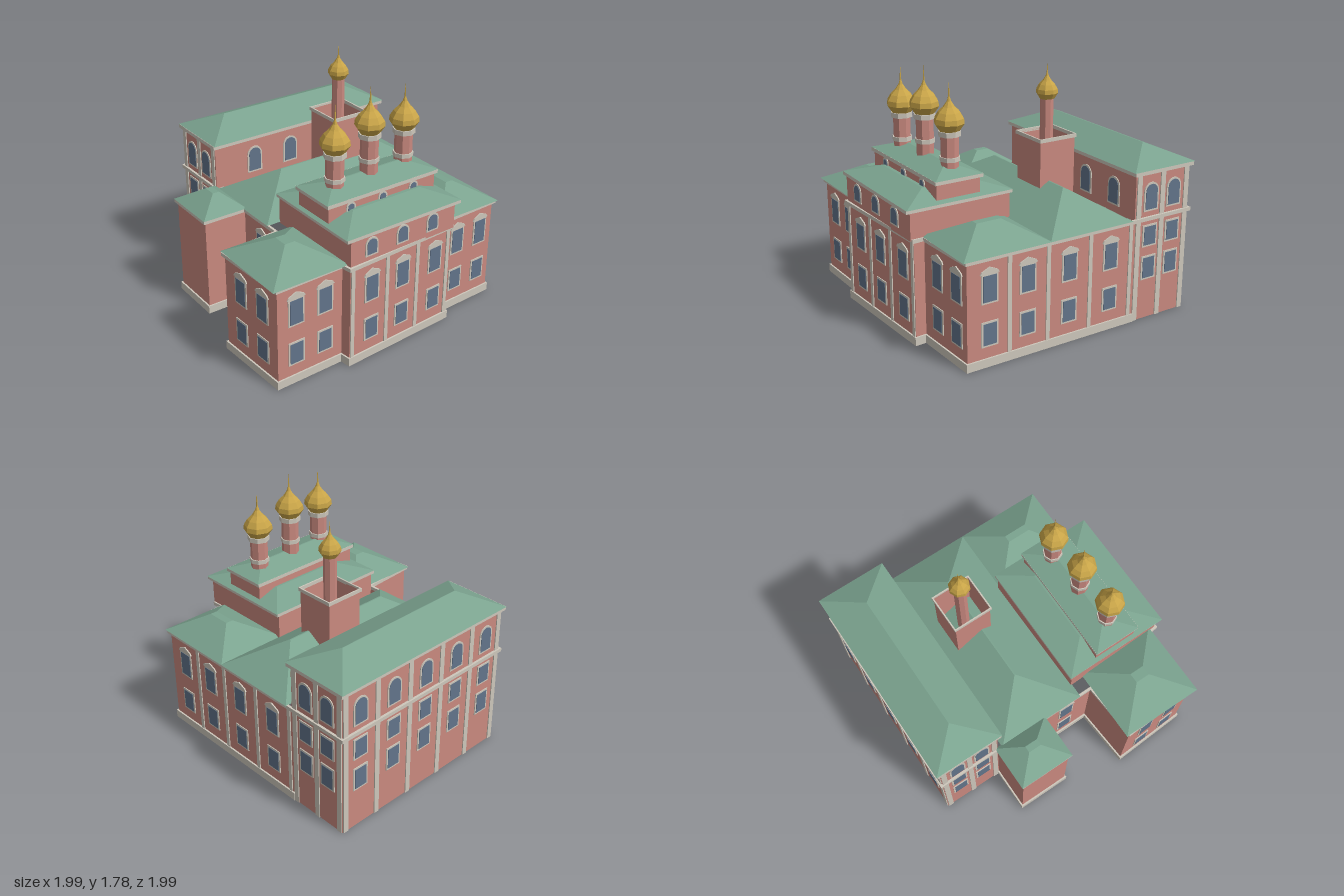
import * as THREE from 'three';

const mat = (name, color, side = THREE.FrontSide) => {
  const m = new THREE.MeshStandardMaterial({ color, side, flatShading: true });
  m.name = name;
  return m;
};

export function createModel() {
  const pink = mat('pink plaster', 0xc9897f, THREE.DoubleSide);
  const pale = mat('pale stone', 0xcdc7bb);
  const green = mat('green roof', 0x7ba38f, THREE.DoubleSide);
  const glass = mat('window glass', 0x62748a);
  const gold = mat('gold', 0xc9a548);
  const model = new THREE.Group();
  model.name = 'church';

  const add = (parent, name, geo, material, x = 0, y = 0, z = 0) => {
    const mesh = new THREE.Mesh(geo, material);
    mesh.name = name;
    mesh.position.set(x, y, z);
    parent.add(mesh);
    return mesh;
  };

  // Footprints are [x, z] corners: front left to right, then round the back
  const rect = (x0, x1, z0, z1) => [[x0, z1], [x1, z1], [x1, z0], [x0, z0]];

  const offset = (pts, d) => pts.map((p, i) => {
    const n = pts.length, a = pts[(i + n - 1) % n], b = pts[(i + 1) % n];
    const n1 = new THREE.Vector2(a[1] - p[1], p[0] - a[0]).normalize();
    const n2 = new THREE.Vector2(p[1] - b[1], b[0] - p[0]).normalize();
    const k = d / (1 + n1.dot(n2));
    return [p[0] + (n1.x + n2.x) * k, p[1] + (n1.y + n2.y) * k];
  });

  // Horizontal band running round a footprint
  const ring = (name, pts, out, y0, y1, material = pale, inset = 0) => {
    const toV = list => list.map(([x, z]) => new THREE.Vector2(x, -z));
    const shape = new THREE.Shape(toV(offset(pts, out)));
    shape.holes.push(new THREE.Path(toV(offset(pts, inset))));
    const geo = new THREE.ExtrudeGeometry(shape, { depth: y1 - y0, bevelEnabled: false });
    add(model, name, geo.rotateX(-Math.PI / 2), material, 0, y0, 0);
  };

  // A wall frame: local x runs along the wall, local z points outwards
  const facade = (name, a, b) => {
    const g = new THREE.Group();
    g.name = name;
    const dx = b[0] - a[0], dz = b[1] - a[1];
    g.position.set(a[0], 0, a[1]);
    g.rotation.y = Math.atan2(-dz, dx);
    const len = Math.hypot(dx, dz), axis = Math.abs(dx) > Math.abs(dz) ? 0 : 1;
    model.add(g);
    // converts a world x or z into a distance along the wall
    const at = c => (c - a[axis]) / (b[axis] - a[axis]) * len;
    return { g, len, at };
  };
  const walls = (name, pts, y0, y1) => pts.map((a, i) => {
    const f = facade(name, a, pts[(i + 1) % pts.length]);
    add(f.g, name + 'Wall', new THREE.PlaneGeometry(f.len, y1 - y0), pink, f.len / 2, (y0 + y1) / 2, 0);
    return f;
  });

  // Thin window plates
  const plate = (f, name, shape, depth, material, u) =>
    add(f.g, name, new THREE.ExtrudeGeometry(shape, { depth, bevelEnabled: false, curveSegments: 6 }), material, u, 0, 0);
  const opening = (w, y0, y1, arched) => {
    const s = new THREE.Shape(), r = w / 2;
    s.moveTo(-r, y0).lineTo(r, y0);
    if (arched) s.lineTo(r, y1 - r).absarc(0, y1 - r, r, 0, Math.PI, false);
    else s.lineTo(r, y1).lineTo(-r, y1);
    s.closePath();
    return s;
  };
  const windowAt = (f, c, y0, y1, w = 0.1, arched = false) => {
    const u = f.at(c);
    plate(f, 'windowFrame', opening(w + 0.026, y0 - 0.013, y1 + 0.013, arched), 0.006, pale, u);
    plate(f, 'windowPane', opening(w, y0, y1, arched), 0.009, glass, u);
  };
  const pediment = (f, c) => {
    const s = new THREE.Shape();
    s.moveTo(-0.072, 0.645).lineTo(0.072, 0.645).lineTo(0.06, 0.665).lineTo(0, 0.692).lineTo(-0.06, 0.665).closePath();
    plate(f, 'windowPediment', s, 0.009, pale, f.at(c));
  };
  const bay = (f, c) => {
    windowAt(f, c, 0.155, 0.305);
    windowAt(f, c, 0.455, 0.635);
    pediment(f, c);
  };
  const pilaster = (f, c, y0, y1, w = 0.03) =>
    add(f.g, 'pilaster', new THREE.BoxGeometry(w, y1 - y0, 0.014), pale, f.at(c), (y0 + y1) / 2, 0);

  // Hipped roof: a box whose top face is shrunk to the given ridge or flat
  const roof = (name, [x0, x1, z0, z1], y0, [tx0, tx1, tz0, tz1], y1) => {
    const geo = new THREE.BoxGeometry(1, 1, 1), p = geo.attributes.position;
    for (let i = 0; i < p.count; i++) {
      const top = p.getY(i) > 0, r = p.getX(i) > 0, f = p.getZ(i) > 0;
      p.setXYZ(i, top ? (r ? tx1 : tx0) : (r ? x1 : x0), top ? y1 : y0,
        top ? (f ? tz1 : tz0) : (f ? z1 : z0));
    }
    geo.computeVertexNormals();
    add(model, name, geo, green);
  };

  // Ground storeys: one outline round all the blocks, open underneath
  const outline = [[-0.97, 0.535], [-0.5, 0.535], [-0.5, 0.86], [-0.11, 0.86], [-0.11, 0.535],
    [0.315, 0.535], [0.345, 0.975], [0.91, 0.945], [0.9, 0.43], [0.975, 0.42],
    [0.925, -0.48], [0.845, -0.475], [0.825, -0.975], [-0.5, -0.975], [-0.97, -0.975]];
  const lower = walls('lower', outline, 0, 0.75);
  ring('plinth', outline.slice(1, 14), 0.012, 0, 0.06);
  ring('mainCornice', outline, 0.018, 0.737, 0.763);

  bay(lower[4], 0.105);
  [0.52, 0.755].forEach(x => bay(lower[6], x));
  [0.8, 0.57].forEach(z => bay(lower[7], z));
  [0.235, -0.04, -0.34].forEach(z => bay(lower[9], z));
  [0.4, 0.1, -0.175, -0.46].forEach(z => pilaster(lower[9], z, 0.06, 0.74));
  [-0.635, -0.86].forEach(z => bay(lower[11], z));
  [0.66, 0.37, 0.04, -0.3].forEach(x => bay(lower[12], x));
  [0.51, 0.21, -0.13, -0.47].forEach(x => pilaster(lower[12], x, 0.06, 0.74));

  // Tall left wing
  const wing = rect(-0.97, -0.5, -0.975, 0.535);
  const upper = walls('wingUpper', wing, 0.75, 1.08);
  ring('wingCornice', wing, 0.022, 1.072, 1.1);
  roof('wingRoof', [-1, -0.47, -1, 0.555], 1.1, [-0.737, -0.733, -0.75, 0.31], 1.215);
  const wingSide = (lo, hi, windows, pilasters) => {
    for (const c of windows) {
      windowAt(lo, c, 0.31, 0.46);
      windowAt(lo, c, 0.555, 0.69);
      windowAt(hi, c, 0.815, 0.995, 0.1, true);
    }
    for (const c of pilasters) {
      pilaster(lo, c, 0, 0.74, 0.04);
      pilaster(hi, c, 0.763, 1.072, 0.04);
    }
  };
  const ends = [[-0.835, -0.635], [-0.945, -0.735, -0.53]];
  wingSide(lower[0], upper[0], ...ends);
  wingSide(lower[13], upper[2], ...ends);
  wingSide(lower[14], upper[3], [0, 1, 2, 3, 4].map(i => -0.82 + i * 0.3),
    [-0.95, -0.67, -0.37, -0.07, 0.23, 0.51]);
  [0.2, -0.12, -0.43, -0.745].forEach(z => windowAt(upper[1], z, 0.815, 0.995, 0.1, true));

  // Roofs of the lower blocks
  roof('middleRoof', [-0.47, 0.21, -1, 0.555], 0.762, [-0.135, -0.125, -0.66, 0.21], 0.968);
  roof('porchRoof', [-0.52, -0.09, 0.53, 0.88], 0.762, [-0.35, -0.25, 0.66, 0.71], 0.867);
  roof('frontBlockRoof', [0.31, 0.94, 0.4, 0.99], 0.762, [0.57, 0.68, 0.65, 0.725], 0.897);
  roof('backBlockRoof', [0.2, 0.86, -1, -0.45], 0.762, [0.44, 0.62, -0.76, -0.705], 0.897);

  // Church upper storey and its roof
  const storey = [[0.2, 0.445], [0.975, 0.42], [0.95, -0.485], [0.19, -0.485]];
  const storeyWalls = walls('churchUpper', storey, 0.75, 0.955);
  ring('churchCornice', rect(0.19, 0.975, -0.495, 0.445), 0.01, 0.948, 0.972, pale, -0.02);
  roof('churchRoof', [0.18, 0.985, -0.51, 0.46], 0.972, [0.4, 0.77, -0.32, 0.25], 1.036);

  // Small top tier
  const tier = rect(0.415, 0.745, -0.47, 0.43);
  const tierWalls = walls('topTier', tier, 0.97, 1.1);
  ring('tierCornice', tier, 0.016, 1.092, 1.118);
  roof('tierRoof', [0.4, 0.76, -0.49, 0.45], 1.118, [0.575, 0.585, -0.31, 0.27], 1.178);
  for (const z of [0.25, -0.015, -0.28]) {
    windowAt(storeyWalls[1], z, 0.81, 0.92, 0.08, true);
    windowAt(tierWalls[1], z, 1.0, 1.075, 0.05, true);
  }

  // Bell tower, open at the top
  const tower = rect(-0.34, -0.055, -0.49, -0.21);
  walls('bellTower', tower, 0.76, 1.26);
  ring('towerCornice', tower, 0.01, 1.25, 1.275);

  // Onion domes on octagonal drums
  const profile = [[0, 0], [0.07, 0], [0.104, 0.05], [0.1, 0.085], [0.075, 0.125], [0.04, 0.16],
    [0.016, 0.195], [0.006, 0.225], [0.004, 0.27], [0, 0.33]].map(p => new THREE.Vector2(...p));
  const dome = (name, x, z, base, rim, s, bands) => {
    const g = new THREE.Group();
    g.name = name;
    g.position.set(x, 0, z);
    model.add(g);
    const drum = (part, r, y0, y1, m) =>
      add(g, part, new THREE.CylinderGeometry(r, r, y1 - y0, 8), m, 0, (y0 + y1) / 2, 0);
    drum('drum', 0.063 * s, base, rim, pink);
    if (bands) {
      drum('drumCornice', 0.078, rim - 0.035, rim, pale);
      drum('drumBand', 0.071, rim - 0.205, rim - 0.175, pale);
    }
    add(g, 'onionDome', new THREE.LatheGeometry(profile, 8), gold, 0, rim, 0).scale.set(s, bands ? 1 : 0.8, s);
  };
  dome('frontDome', 0.6, 0.275, 1.12, 1.395, 1, true);
  dome('middleDome', 0.58, -0.025, 1.12, 1.45, 1, true);
  dome('backDome', 0.565, -0.335, 1.12, 1.4, 1, true);
  dome('bellDome', -0.2, -0.35, 0.9, 1.515, 0.74, false);

  return model;
}
